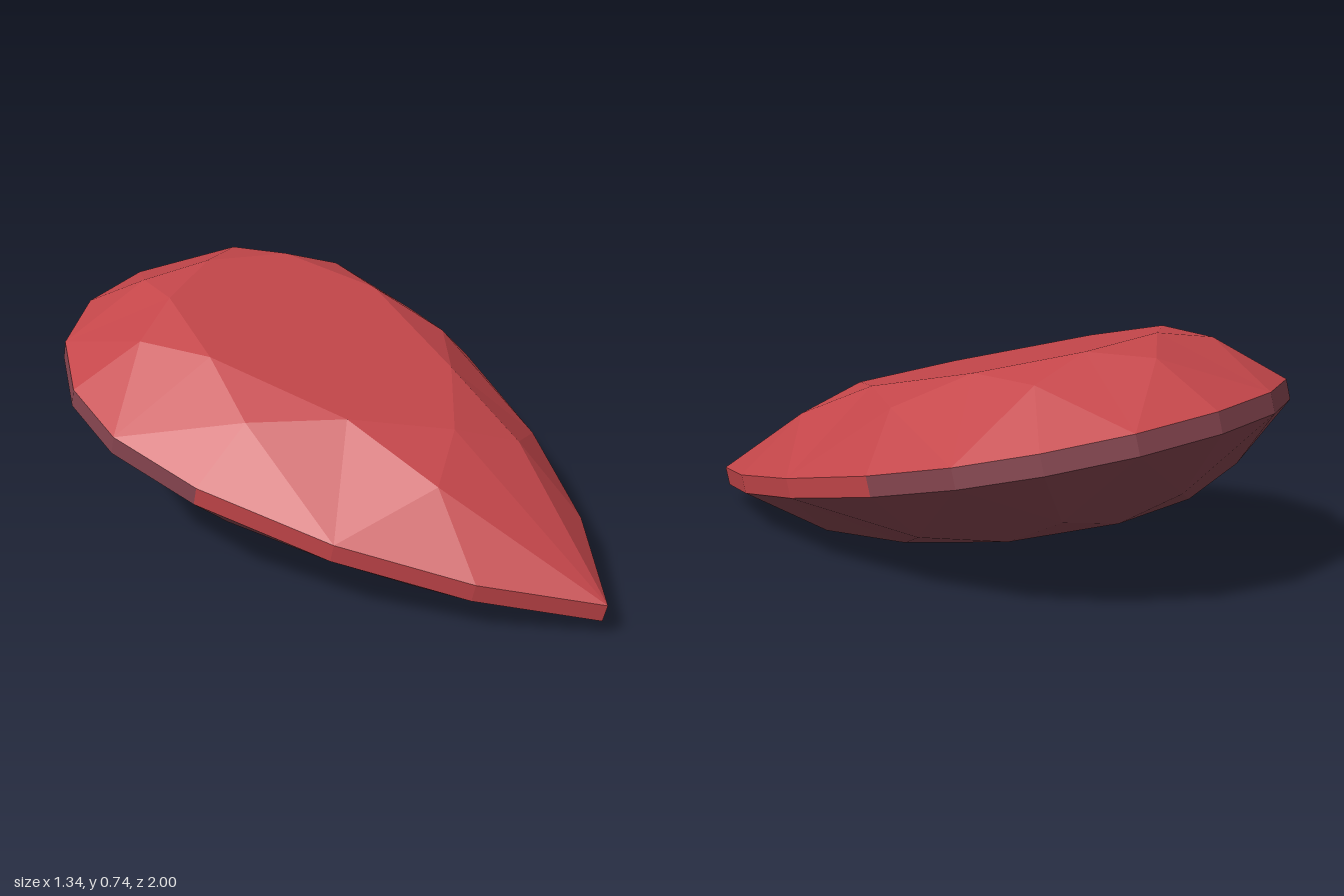
import * as THREE from 'three';

// Half outlines [x, z] from the pointed front to the round back
const GIRDLE = [[0, 1.021], [0.255, 0.733], [0.47, 0.373], [0.625, -0.041], [0.67, -0.36],
  [0.62, -0.61], [0.48, -0.826], [0.26, -0.97], [0, -1.021]];
// Crown ring: even entries are table corners, odd entries are the lower star points
const CROWN = [[0, 0.373], [0.19, 0.487], [0.24, 0.155], [0.45, -0.048], [0.37, -0.298],
  [0.44, -0.53], [0.26, -0.606], [0.2, -0.79], [0, -0.71]];
const GIRDLE_Y = 0.031, STAR_Y = 0.195, TABLE_Y = 0.25, COUNT = 16;

// Full 16-point ring from a half outline, with a slight sideways lean of the tip
function ring(half, heightAt) {
  return Array.from({ length: COUNT }, (_, i) => {
    const j = i <= 8 ? i : COUNT - i;
    const [x, z] = half[j];
    return new THREE.Vector3((i <= 8 ? x : -x) + 0.012 * (z + 0.4), heightAt(j), z);
  });
}

// Flat triangles, each turned to face away from the stone's centre
function facets(name, triangles, material) {
  const positions = [];
  for (const [a, b, c] of triangles) {
    const normal = b.clone().sub(a).cross(c.clone().sub(a));
    const outward = normal.dot(a.clone().add(b).add(c)) > 0;
    for (const p of outward ? [a, b, c] : [a, c, b]) positions.push(p.x, p.y, p.z);
  }
  const geometry = new THREE.BufferGeometry();
  geometry.setAttribute('position', new THREE.Float32BufferAttribute(positions, 3));
  geometry.computeVertexNormals();
  const mesh = new THREE.Mesh(geometry, material);
  mesh.name = name;
  return mesh;
}

// One side of the cut: flat table, star triangles, kites and girdle triangles
function cutSide(sign) {
  const girdle = ring(GIRDLE, () => sign * GIRDLE_Y);
  const crown = ring(CROWN, j => sign * (j % 2 ? STAR_Y : TABLE_Y));
  const table = new THREE.Vector3(0, sign * TABLE_Y, -0.2);
  const triangles = [];
  for (let i = 0; i < COUNT; i += 2) {
    const star = i + 1, next = (i + 2) % COUNT, before = (i + COUNT - 1) % COUNT;
    triangles.push(
      [table, crown[i], crown[next]],
      [crown[i], crown[star], crown[next]],
      [crown[i], crown[before], girdle[i]], [crown[i], girdle[i], crown[star]],
      [crown[star], girdle[i], girdle[star]], [crown[star], girdle[star], girdle[next]]);
  }
  return triangles;
}

export function createModel() {
  const red = new THREE.MeshStandardMaterial({ color: 0xc4464a, flatShading: true });
  red.name = 'red';
  const maroon = new THREE.MeshStandardMaterial({ color: 0x86454f, flatShading: true });
  maroon.name = 'dull maroon';

  // Narrow band around the edge: red near the tip, maroon around the back
  const upper = ring(GIRDLE, () => GIRDLE_Y), lower = ring(GIRDLE, () => -GIRDLE_Y);
  const frontBand = [], backBand = [];
  for (let i = 0; i < COUNT; i++) {
    const n = (i + 1) % COUNT;
    (i < 3 || i >= COUNT - 3 ? frontBand : backBand).push(
      [upper[i], lower[i], lower[n]], [upper[i], lower[n], upper[n]]);
  }

  const stone = new THREE.Group();
  stone.name = 'cutStone';
  stone.add(
    facets('upperFacets', cutSide(1), red),
    facets('lowerFacets', cutSide(-1), maroon),
    facets('frontEdgeBand', frontBand, red),
    facets('backEdgeBand', backBand, maroon));

  // The stone rests on its lower front corner, tip tilted down
  stone.rotation.x = 0.239;
  stone.position.y = 0.333;
  const model = new THREE.Group();
  model.name = 'teardropGem';
  model.add(stone);
  return model;
}
